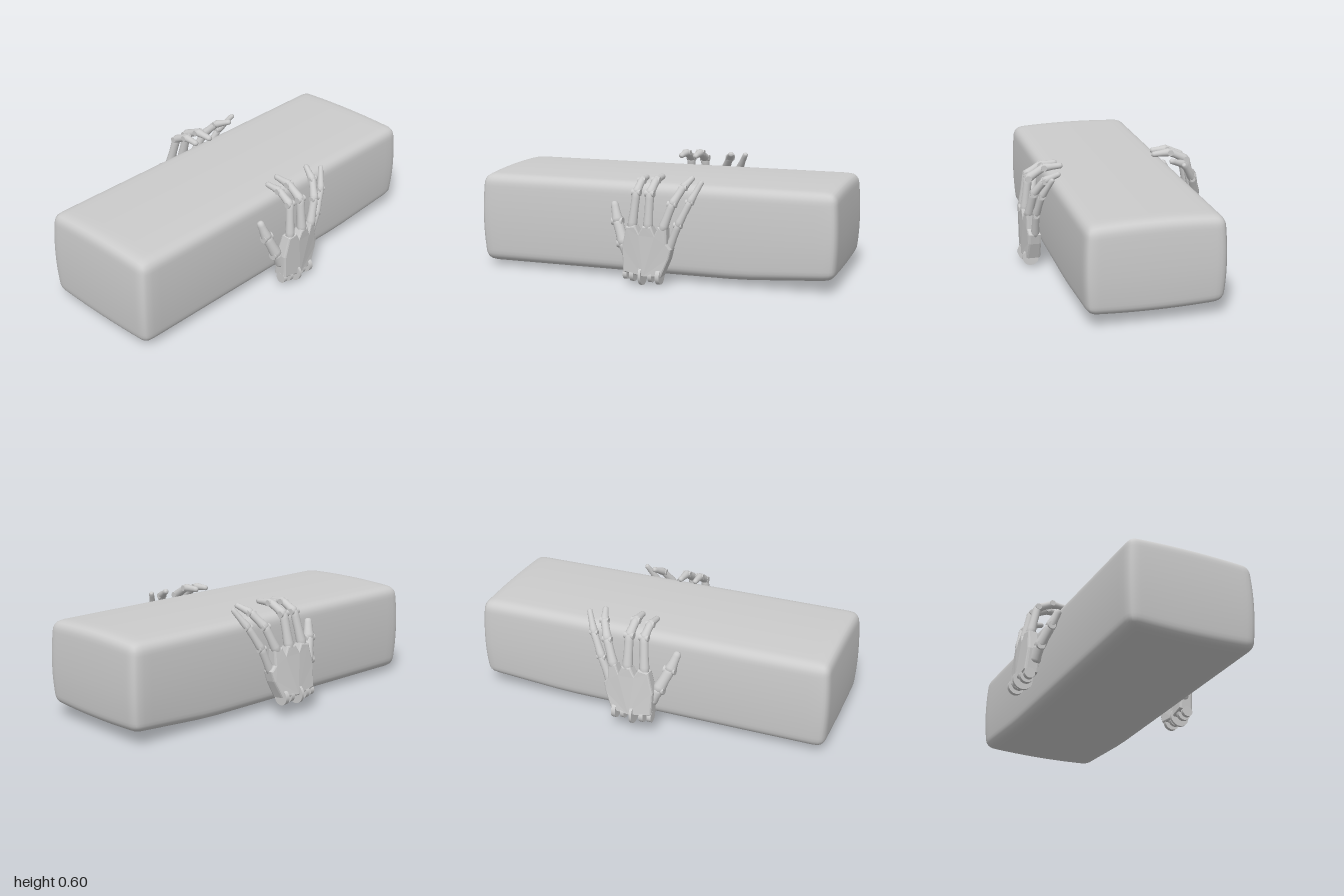
import * as THREE from 'three';
import { mergeVertices } from 'three/addons/utils/BufferGeometryUtils.js';

const grey = new THREE.MeshStandardMaterial({ color: 0xcccccc });

function makeMesh(geometry, name, parent) {
  const mesh = new THREE.Mesh(geometry, grey);
  mesh.name = name;
  parent.add(mesh);
  return mesh;
}

// Long block: rounded edges, softly bulging faces, slightly skewed
function blockGeometry() {
  const g0 = new THREE.BoxGeometry(2, 2, 2, 24, 24, 24);
  g0.deleteAttribute('uv');
  g0.deleteAttribute('normal');
  const g = mergeVertices(g0);
  const half = new THREE.Vector3(0.348, 0.242, 0.982);
  const r = 0.05;
  const inner = half.clone().subScalar(r);
  const dense = (u) => Math.sign(u) * (1 - (1 - Math.abs(u)) ** 2); // more rows near the edges
  const p = new THREE.Vector3(), core = new THREE.Vector3();
  const pos = g.attributes.position;
  for (let i = 0; i < pos.count; i++) {
    p.fromBufferAttribute(pos, i);
    p.set(dense(p.x), dense(p.y), dense(p.z)).multiply(half);
    core.copy(p).clamp(inner.clone().negate(), inner);
    p.sub(core).setLength(r).add(core);
    const u = p.x / half.x, v = p.y / half.y, w = p.z / half.z;
    const x = p.x + 0.013 * u * (1 - v * v) + 0.017 + 0.016 * w;
    const y = 0.276 + p.y + 0.013 * v * (1 - u * u) - 0.005 * w
      + (v < 0 ? -v * 0.035 * Math.max(0, -w - 0.5) / 0.5 : 0);
    const z = p.z + 0.014 * w * (1 - v * v) - 0.008 * u;
    pos.setXYZ(i, x, y, z);
  }
  g.computeVertexNormals();
  return g;
}

// Tapered bone with rounded, slightly swollen ends, running from a to b
function boneGeometry(a, b, ra, rb) {
  const dir = b.clone().sub(a);
  const len = dir.length();
  const profile = [[0, -ra * 0.6], [ra * 0.6, -ra * 0.45], [ra * 0.95, 0], [ra, len * 0.15],
    [(ra + rb) * 0.46, len * 0.5], [rb, len * 0.85], [rb * 0.92, len],
    [rb * 0.6, len + rb * 0.45], [0, len + rb * 0.6]].map(([x, y]) => new THREE.Vector2(x, y));
  const g = new THREE.LatheGeometry(profile, 16);
  g.applyQuaternion(new THREE.Quaternion().setFromUnitVectors(new THREE.Vector3(0, 1, 0), dir.normalize()));
  return g.translate(a.x, a.y, a.z);
}

// Notched palm plate: outline in z and y, thicker at the wrist, cupped around the block
function palmGeometry() {
  const outline = [[0.095, 0.07], [0.1, 0.2], [0.075, 0.315], [0.022, 0.325], [0.002, 0.285],
    [-0.018, 0.325], [-0.066, 0.325], [-0.083, 0.28], [-0.1, 0.325], [-0.145, 0.315],
    [-0.145, 0.235], [-0.168, 0.205], [-0.155, 0.15], [-0.115, 0.055], [-0.02, 0.05]];
  const shape = new THREE.Shape(outline.map(([z, y]) => new THREE.Vector2(-z, y)));
  const g = new THREE.ExtrudeGeometry(shape, {
    depth: 0.05, bevelThickness: 0.012, bevelSize: 0.008, bevelOffset: -0.008, bevelSegments: 2, steps: 2,
  });
  g.translate(0, 0, -0.025).rotateY(Math.PI / 2);
  const pos = g.attributes.position;
  for (let i = 0; i < pos.count; i++) {
    const y = pos.getY(i), z = pos.getZ(i);
    const thick = 1.1 - 1.3 * (y - 0.05);
    pos.setX(i, pos.getX(i) * thick + 0.468 + 0.06 * (y - 0.05) - 0.9 * z * z);
  }
  g.computeVertexNormals();
  return g;
}

// Joint positions of each digit, from knuckle to tip, for the +x hand
const digits = {
  indexFinger: { joints: [[0.484, 0.31, 0.047], [0.462, 0.49, 0.03], [0.385, 0.54, 0.03], [0.3, 0.545, 0.033]], r: 0.025 },
  middleFinger: { joints: [[0.486, 0.31, -0.042], [0.466, 0.49, -0.046], [0.38, 0.545, -0.048], [0.285, 0.55, -0.05]], r: 0.026 },
  ringFinger: { joints: [[0.478, 0.31, -0.12], [0.458, 0.44, -0.165], [0.405, 0.52, -0.205], [0.332, 0.56, -0.232]], r: 0.025 },
  littleFinger: { joints: [[0.45, 0.2, -0.145], [0.452, 0.33, -0.195], [0.428, 0.45, -0.25], [0.38, 0.55, -0.298]], r: 0.023 },
  thumb: { joints: [[0.45, 0.14, 0.075], [0.447, 0.21, 0.11], [0.418, 0.32, 0.155], [0.395, 0.41, 0.182]], r: 0.034 },
};

// Wrist hinge tabs: z, radius, thickness
const tabs = [[0.085, 0.03, 0.022], [0.045, 0.038, 0.022], [-0.005, 0.055, 0.014], [-0.055, 0.036, 0.02], [-0.1, 0.044, 0.022]];

function makeHand(name, matrix) {
  const hand = new THREE.Group();
  hand.name = name;
  const mirrored = matrix.determinant() < 0;
  const add = (geometry, part, parent = hand) => {
    const g = mergeVertices(geometry);
    if (mirrored) g.index.array.reverse(); // keep faces outward after mirroring
    makeMesh(g.applyMatrix4(matrix), part, parent);
  };

  add(palmGeometry(), 'palm');

  for (const [z, r, t] of tabs) {
    add(new THREE.CylinderGeometry(r, r, t, 24).rotateX(Math.PI / 2).translate(0.47, 0.057, z), 'wristTab');
  }

  for (const [digit, { joints, r }] of Object.entries(digits)) {
    const group = new THREE.Group();
    group.name = digit;
    hand.add(group);
    const pts = joints.map((j) => new THREE.Vector3(...j));
    for (let i = 0; i < 3; i++) {
      const ra = r * (1 - 0.07 * i);
      add(boneGeometry(pts[i], pts[i + 1], ra, ra * (i === 2 ? 0.72 : 0.88)), 'fingerBone', group);
      // Hinge pin across the finger
      if (i > 0) {
        add(new THREE.CylinderGeometry(ra * 0.75, ra * 0.75, ra * 2.05, 16)
          .rotateX(Math.PI / 2).translate(pts[i].x, pts[i].y, pts[i].z), 'fingerHinge', group);
      }
    }
  }
  return hand;
}

export function createModel() {
  const model = new THREE.Group();
  model.name = 'handsHoldingBlock';
  makeMesh(blockGeometry(), 'block', model);
  model.add(makeHand('leftHand', new THREE.Matrix4()));

  // Right hand: mirrored, raised and leaning further in over the block
  const right = new THREE.Matrix4().makeTranslation(-0.475, 0.108, 0)
    .multiply(new THREE.Matrix4().makeScale(-1, 1, 1.08))
    .multiply(new THREE.Matrix4().makeRotationZ(0.12))
    .multiply(new THREE.Matrix4().makeTranslation(-0.47, -0.055, 0));
  model.add(makeHand('rightHand', right));
  return model;
}
